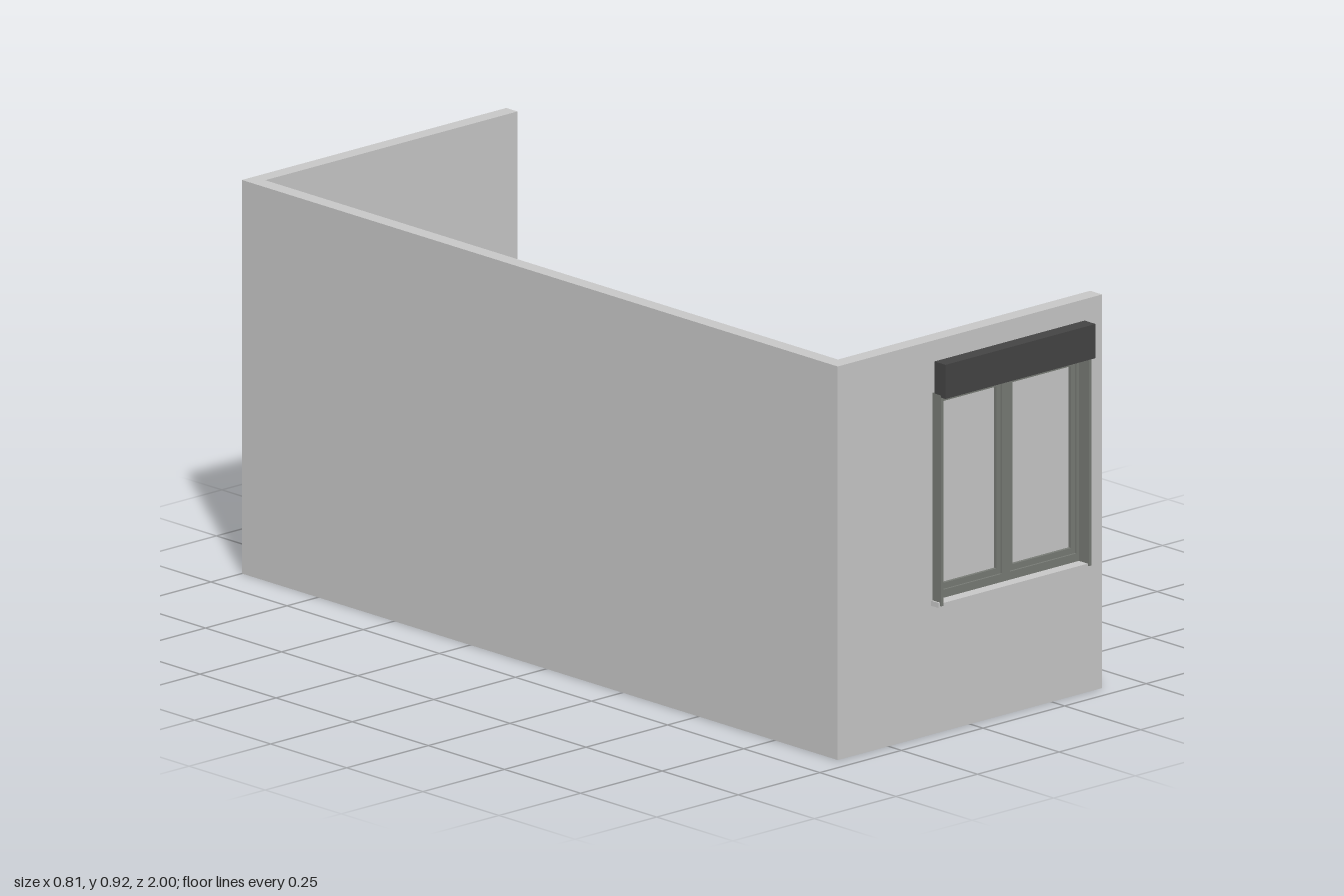
import * as THREE from 'three';

const mat = (name, color) => {
  const m = new THREE.MeshStandardMaterial({ color });
  m.name = name;
  return m;
};

export function createModel() {
  const plaster = mat('light grey plaster', 0xc8c8c8);
  const grey = mat('window and floor grey', 0x787b75);
  const glass = mat('pale glass', 0xc9c9c9);
  const dark = mat('dark shutter', 0x444444);

  const room = new THREE.Group();
  room.name = 'room';

  // Box given by its limits on each axis
  const box = (parent, name, material, [x0, x1], [y0, y1], [z0, z1]) => {
    const m = new THREE.Mesh(new THREE.BoxGeometry(x1 - x0, y1 - y0, z1 - z0), material);
    m.position.set((x0 + x1) / 2, (y0 + y1) / 2, (z0 + z1) / 2);
    m.name = name;
    parent.add(m);
    return m;
  };

  const rect = (P, x0, x1, y0, y1) => {
    const p = new P();
    p.moveTo(x0, y0);
    p.lineTo(x1, y0);
    p.lineTo(x1, y1);
    p.lineTo(x0, y1);
    p.closePath();
    return p;
  };

  // Upright panel with rectangular openings, each [x0, x1, y0, y1]
  const panel = (parent, name, material, outer, holes, z0, z1) => {
    const shape = rect(THREE.Shape, ...outer);
    holes.forEach((h) => shape.holes.push(rect(THREE.Path, ...h)));
    const geo = new THREE.ExtrudeGeometry(shape, { depth: z1 - z0, bevelEnabled: false });
    const m = new THREE.Mesh(geo, material);
    m.position.z = z0;
    m.name = name;
    parent.add(m);
    return m;
  };

  // Slab and walls, open at the top and on the +x side
  const W = 0.405, H = 0.922, F = 0.08, front = 0.957, inner = 0.918;
  box(room, 'floorSlab', plaster, [-W, W], [0, F], [-1, front]);
  box(room, 'sideWall', plaster, [-W, -0.368], [F, H], [-0.963, inner]);
  box(room, 'backWall', plaster, [-W, W], [F, H], [-1, -0.963]);
  panel(room, 'frontWall', plaster, [-W, W, F, H], [[-0.115, 0.345, 0.305, 0.797]], inner, front);

  // Floor covering
  const floor = new THREE.Mesh(new THREE.PlaneGeometry(W + 0.368, inner + 0.963), grey);
  floor.rotation.x = -Math.PI / 2;
  floor.position.set((W - 0.368) / 2, F + 0.001, (inner - 0.963) / 2);
  floor.name = 'floorCovering';
  room.add(floor);

  // Window: fixed frame with two sashes
  const win = new THREE.Group();
  win.name = 'window';
  room.add(win);
  const y0 = 0.33, y1 = 0.784;
  const sashes = [[-0.1, 0.102], [0.127, 0.33]];
  panel(win, 'windowFrame', grey, [-0.115, 0.345, 0.305, 0.797],
    sashes.map(([a, b]) => [a, b, y0, y1]), 0.93, 0.953);
  sashes.forEach(([a, b]) => {
    panel(win, 'sash', grey, [a, b, y0, y1], [[a + 0.012, b - 0.012, y0 + 0.014, y1 - 0.014]], 0.926, 0.948);
    box(win, 'pane', glass, [a + 0.012, b - 0.012], [y0 + 0.014, y1 - 0.014], [0.934, 0.94]);
  });

  // Inside handle
  box(win, 'handleBase', grey, [0.11, 0.119], [0.535, 0.56], [0.924, 0.93]);
  box(win, 'handleLever', grey, [0.112, 0.117], [0.49, 0.555], [0.919, 0.924]);

  // Outside sill with end caps
  box(win, 'sill', plaster, [-0.115, 0.345], [0.302, 0.311], [0.953, 0.982]);
  [-0.117, 0.347].forEach((x) =>
    box(win, 'sillEnd', plaster, [x - 0.002, x + 0.002], [0.302, 0.314], [0.953, 0.982]));

  // Roller shutter box and guide rails
  [-0.1115, 0.3415].forEach((x) =>
    box(win, 'guideRail', grey, [x - 0.0035, x + 0.0035], [0.306, 0.8], [0.953, 0.986]));
  box(win, 'shutterBox', dark, [-0.115, 0.345], [0.795, 0.875], [0.964, 1]);
  box(win, 'shutterLip', dark, [-0.108, 0.338], [0.789, 0.796], [0.964, 0.978]);

  return room;
}
